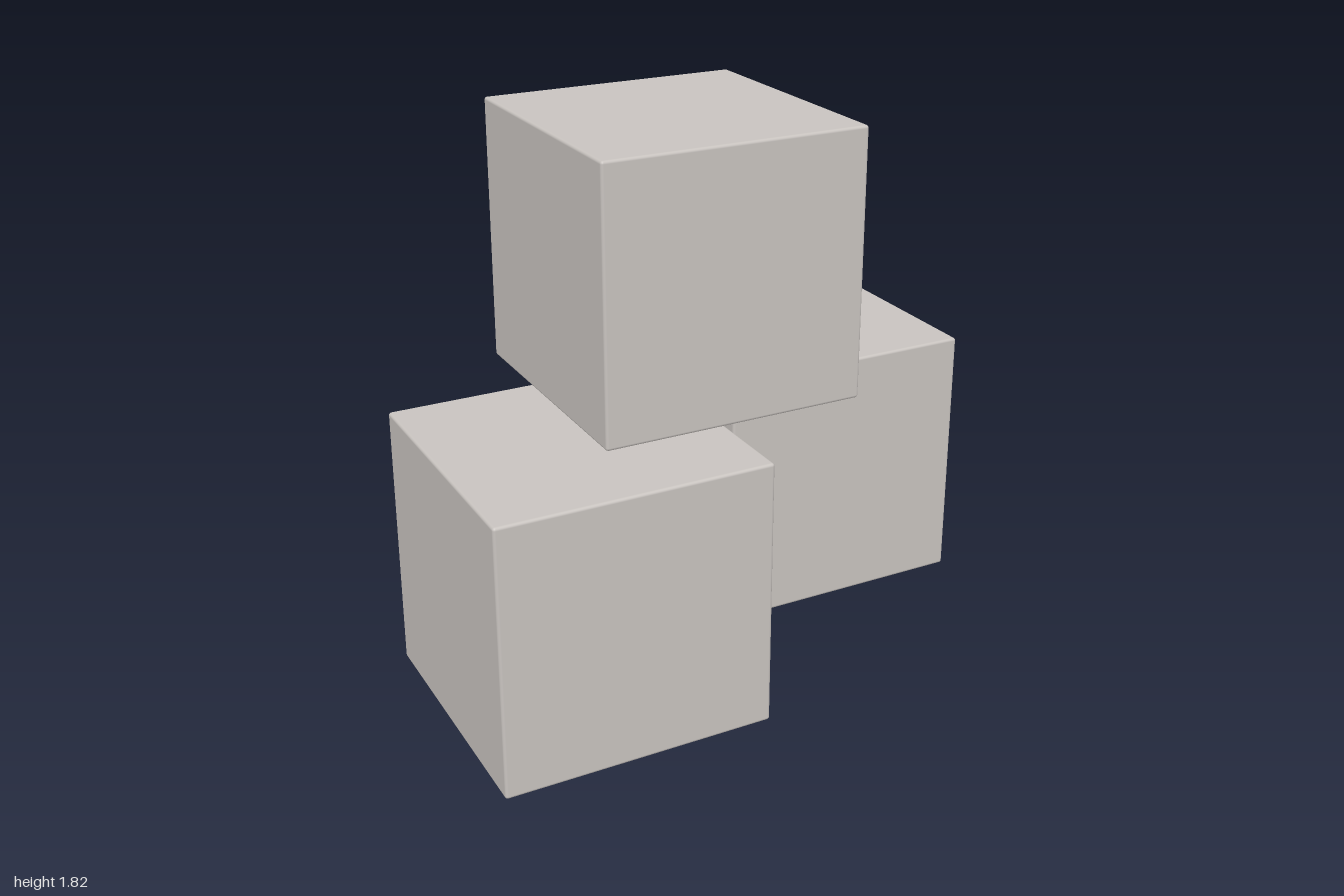
import * as THREE from 'three';
import { RoundedBoxGeometry } from 'three/addons/geometries/RoundedBoxGeometry.js';

const SIZE = 0.906; // edge length of each cube
const BEVEL = 0.01; // softened edge radius

export function createModel() {
  const model = new THREE.Group();
  model.name = 'stackedCubes';

  const stone = new THREE.MeshStandardMaterial({ color: 0xc8c3bf });
  stone.name = 'warm grey';

  const geometry = new RoundedBoxGeometry(SIZE, SIZE, SIZE, 2, BEVEL);

  // Two staggered base cubes with a third resting across them
  const cubes = [
    ['lowerRightCube', -0.547, SIZE / 2, 0.297],
    ['lowerLeftCube', 0.547, SIZE / 2, -0.297],
    ['upperCube', -0.06, SIZE * 1.5 + 0.004, 0],
  ];
  for (const [name, x, y, z] of cubes) {
    const cube = new THREE.Mesh(geometry, stone);
    cube.name = name;
    cube.position.set(x, y, z);
    model.add(cube);
  }
  return model;
}
